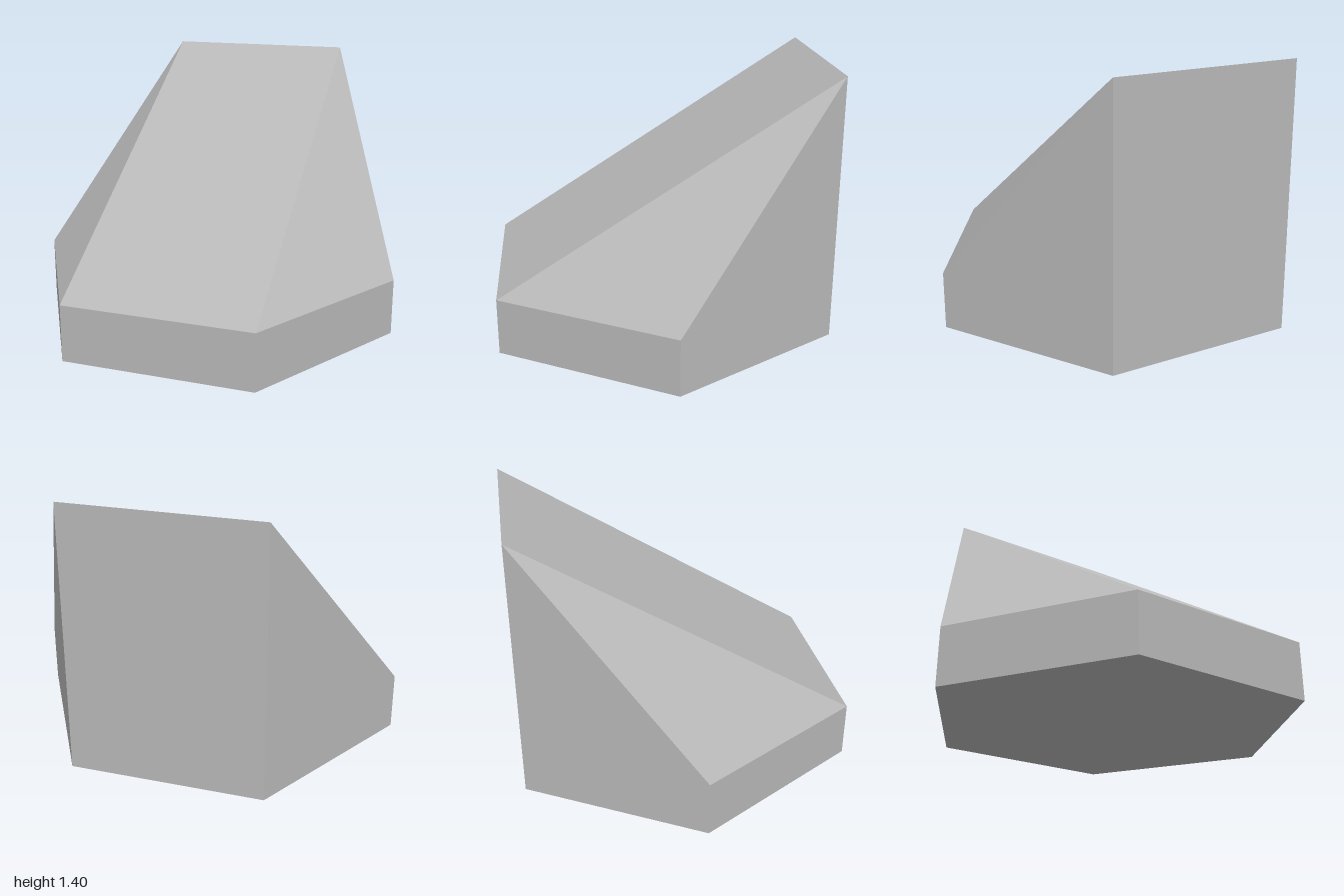
import * as THREE from 'three';

export function createModel() {
  const group = new THREE.Group();
  const grey = new THREE.MeshStandardMaterial({ color: 0xb8b8b8 });
  grey.name = 'grey';

  // Hexagonal footprint, starting at the front corner and going round by the left (+x).
  const heights = [0.3, 0.3, 1.4, 1.4, 0.3, 0.3];
  const corner = (i, y) => {
    const a = (i * Math.PI) / 3;
    return new THREE.Vector3(Math.sin(a), y, Math.cos(a));
  };
  const bottom = heights.map((h, i) => corner(i, 0));
  const top = heights.map((h, i) => corner(i, h));

  // Convex flat face from corners listed counter-clockwise as seen from outside.
  function addFace(name, points) {
    const geometry = new THREE.BufferGeometry().setFromPoints(points);
    const index = [];
    for (let i = 1; i < points.length - 1; i++) index.push(0, i, i + 1);
    geometry.setIndex(index);
    geometry.computeVertexNormals();
    const mesh = new THREE.Mesh(geometry, grey);
    mesh.name = name;
    group.add(mesh);
  }

  // Base and six upright walls
  addFace('base', [...bottom].reverse());
  for (let i = 0; i < 6; i++) {
    const j = (i + 1) % 6;
    addFace('wall' + (i + 1), [bottom[i], bottom[j], top[j], top[i]]);
  }

  // Sloping ramp with a triangular facet on each side
  addFace('ramp', [top[5], top[0], top[2], top[3]]);
  addFace('leftFacet', [top[0], top[1], top[2]]);
  addFace('rightFacet', [top[3], top[4], top[5]]);

  return group;
}
